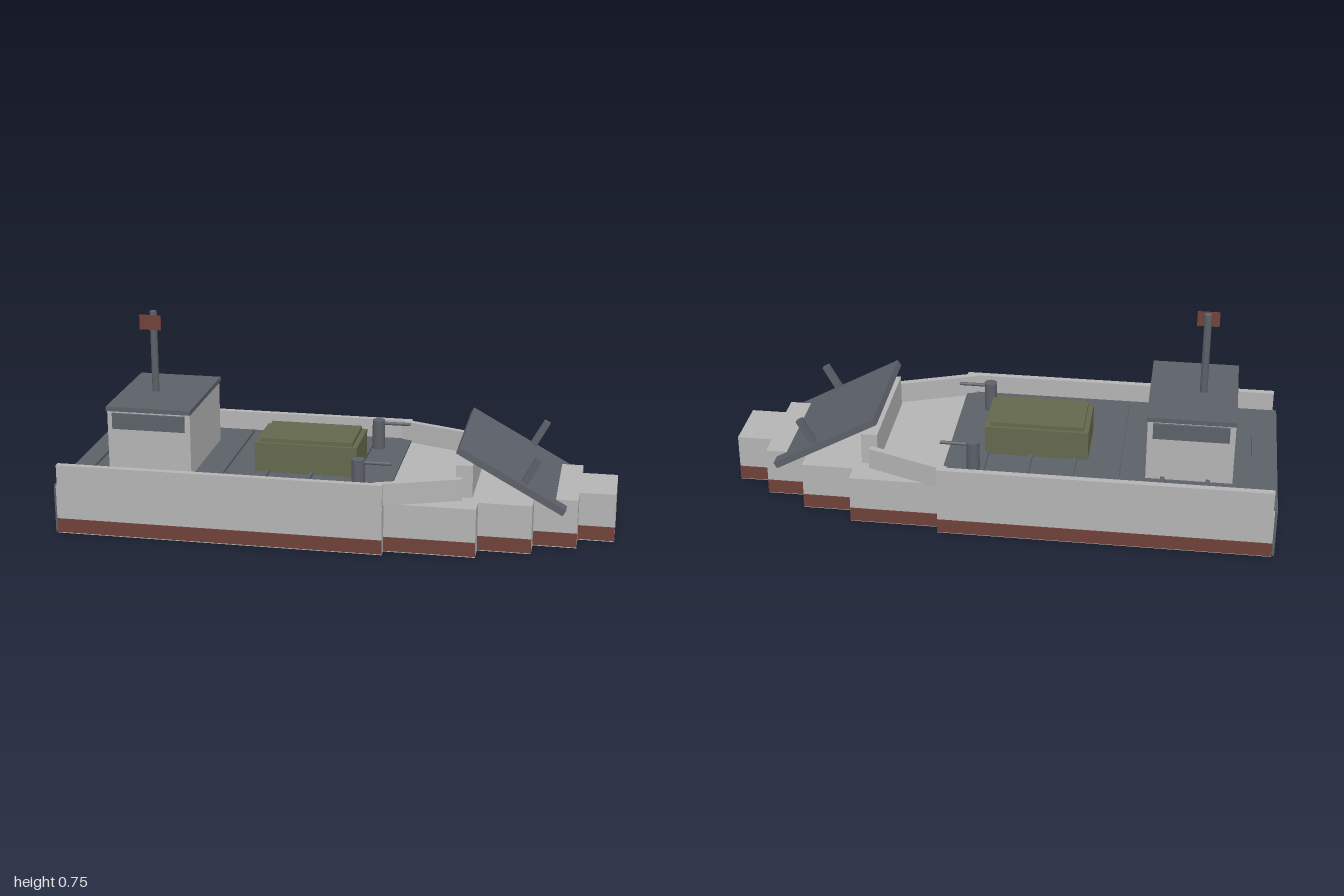
import * as THREE from 'three';

function mat(name, color) {
  const m = new THREE.MeshStandardMaterial({ color });
  m.name = name;
  return m;
}

export function createModel() {
  const model = new THREE.Group();
  model.name = 'landingBoat';
  const lightGrey = mat('light grey', 0xb4b4b4);
  const slate = mat('slate grey', 0x5c6068);
  const red = mat('rust red', 0x6f4139);
  const olive = mat('olive', 0x64684c);

  function add(name, geometry, material, x, y, z) {
    const mesh = new THREE.Mesh(geometry, material);
    mesh.name = name;
    mesh.position.set(x, y, z);
    model.add(mesh);
    return mesh;
  }
  // Box given by its extents along each axis
  function box(name, material, [x0, x1], [y0, y1], [z0, z1]) {
    return add(name, new THREE.BoxGeometry(x1 - x0, y1 - y0, z1 - z0), material,
      (x0 + x1) / 2, (y0 + y1) / 2, (z0 + z1) / 2);
  }

  // Hull sections stepping in towards the bow: start, end, half width
  const sections = [
    [-0.99, 0.2, 0.378],
    [0.2, 0.525, 0.342],
    [0.525, 0.715, 0.273],
    [0.715, 0.87, 0.19],
    [0.87, 1, 0.106],
  ];
  for (const [x0, x1, w] of sections) {
    box('hullSection', lightGrey, [x0, x1], [0, 0.18], [-w, w]);
    for (const s of [-1, 1]) {
      const z = s * (w + 0.001);
      box('waterlineBand', red, [x0, x1], [0.004, 0.056], [z - 0.002, z + 0.002]);
    }
  }
  box('transom', slate, [-1, -0.99], [0, 0.18], [-0.37, 0.37]);

  // Deck with cross ribs
  box('deck', slate, [-0.99, 0.2], [0.178, 0.188], [-0.362, 0.362]);
  for (let i = 0; i < 7; i++) {
    const x = -0.915 + i * 0.162;
    box('deckRib', slate, [x - 0.008, x + 0.008], [0.186, 0.198], [-0.33, 0.33]);
  }

  // Bulwarks, angled bow walls and the sill under the ramp
  for (const s of [-1, 1]) {
    const z = s * 0.368;
    box('bulwark', lightGrey, [-0.985, 0.2], [0.18, 0.26], [z - 0.012, z + 0.012]);
    const wall = add('bowWall', new THREE.BoxGeometry(0.315, 0.08, 0.024), lightGrey, 0.315, 0.22, s * 0.306);
    wall.rotation.y = s * 0.356;
  }
  box('rampSill', lightGrey, [0.44, 0.5], [0.18, 0.3], [-0.23, 0.23]);

  // Bow ramp with a lifting arm at each side
  const tilt = -0.505;
  const ramp = add('bowRamp', new THREE.BoxGeometry(0.434, 0.025, 0.474), slate, 0.635, 0.252, 0);
  ramp.rotation.z = tilt;
  for (const s of [-1, 1]) {
    const arm = add('rampArm', new THREE.BoxGeometry(0.025, 0.102, 0.022), slate, 0.705, 0.29, s * 0.214);
    arm.rotation.z = tilt;
  }

  // Wheelhouse, windows, roof, mast and flag
  box('cabin', lightGrey, [-0.84, -0.53], [0.18, 0.424], [-0.212, 0.212]);
  for (const s of [-1, 1]) {
    const z = s * 0.217;
    box('cabinWindow', slate, [-0.82, -0.55], [0.356, 0.415], [z - 0.0048, z + 0.0048]);
  }
  box('cabinRoof', slate, [-0.842, -0.526], [0.423, 0.44], [-0.222, 0.222]);
  add('mast', new THREE.CylinderGeometry(0.0135, 0.0135, 0.307, 12), slate, -0.718, 0.5935, 0);
  box('flag', red, [-0.76, -0.68], [0.685, 0.74], [0.032, 0.038]);

  // Covered cargo
  box('cargo', olive, [-0.315, 0.064], [0.186, 0.299], [-0.115, 0.115]);
  box('cargoCover', olive, [-0.296, 0.046], [0.298, 0.314], [-0.103, 0.103]);

  // Deck guns
  for (const s of [-1, 1]) {
    add('gunMount', new THREE.CylinderGeometry(0.024, 0.024, 0.114, 12), slate, 0.09, 0.243, s * 0.228);
    const barrel = add('gunBarrel', new THREE.CylinderGeometry(0.0065, 0.0065, 0.13, 8), slate, 0.145, 0.288, s * 0.228);
    barrel.rotation.z = -Math.PI / 2;
  }
  return model;
}
